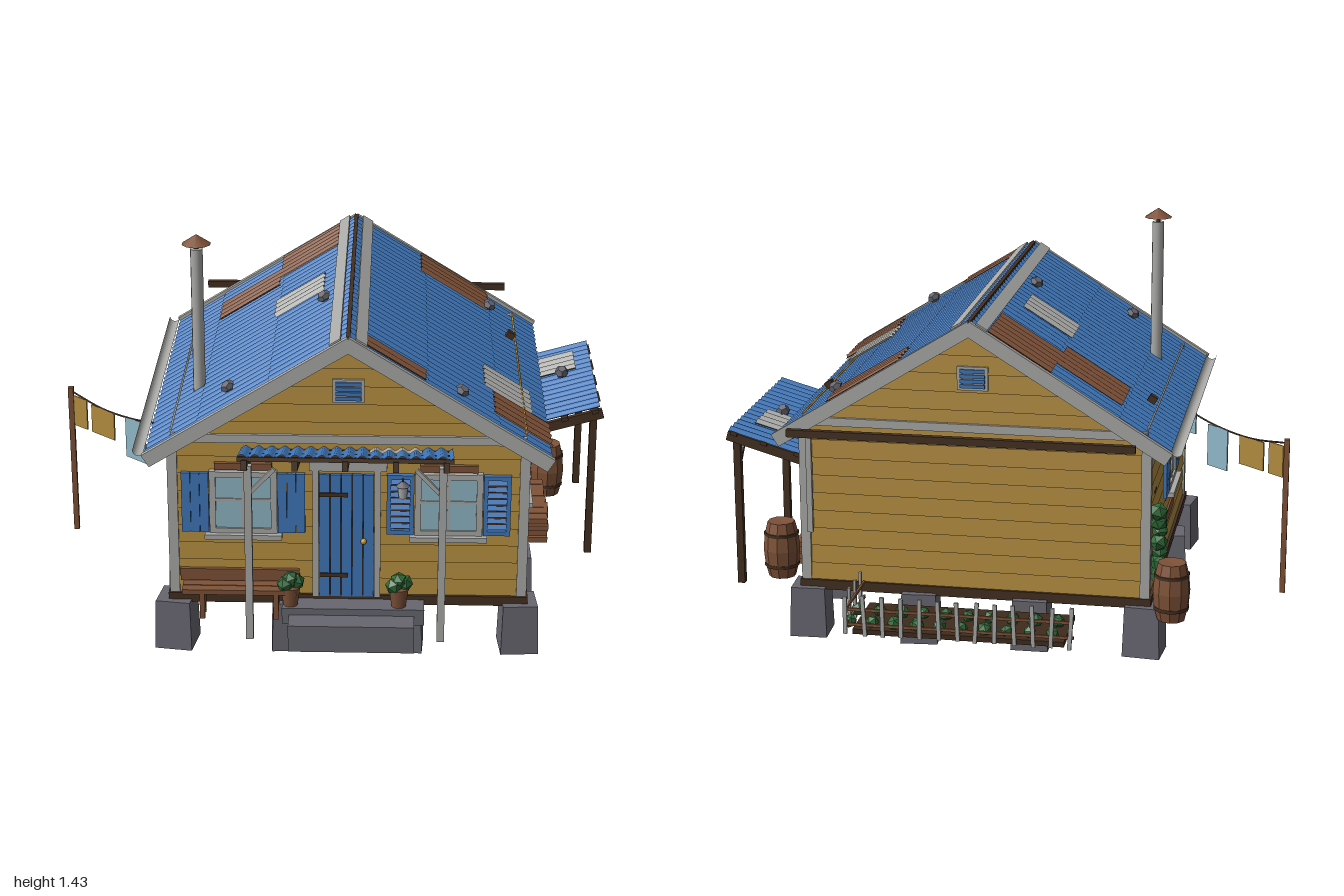
import * as THREE from 'three';

const M = {};
for (const [name, color] of Object.entries({
  mustardBoards: 0xb08a3e, paintedBlue: 0x3f77ba, rust: 0x7f5238, darkWood: 0x443021, paleGrey: 0xaaaaa8,
  stone: 0x686771, glass: 0x8fb6c6, leaf: 0x2f6a38, gold: 0xc8952f, soil: 0x3f2c1d })) {
  M[name] = new THREE.MeshStandardMaterial({ color });
  M[name].name = name;
}
for (const k of ['paintedBlue', 'rust', 'paleGrey', 'glass', 'mustardBoards']) M[k].side = THREE.DoubleSide;

let seed = 7;
const rnd = (a = -1, b = 1) => { seed = (seed * 16807) % 2147483647; return a + (b - a) * seed / 2147483647; };

function add(parent, name, geo, mat, x = 0, y = 0, z = 0) {
  const m = new THREE.Mesh(geo, mat);
  m.name = name;
  m.position.set(x, y, z);
  parent.add(m);
  return m;
}
const box = (p, name, mat, w, h, d, x, y, z) => add(p, name, new THREE.BoxGeometry(w, h, d), mat, x, y, z);
function group(parent, name, x = 0, y = 0, z = 0, ry = 0) {
  const g = new THREE.Group();
  g.name = name;
  g.position.set(x, y, z);
  g.rotation.y = ry;
  parent.add(g);
  return g;
}
function flat(geo) {
  const g = geo.index ? geo.toNonIndexed() : geo;
  g.computeVertexNormals();
  return g;
}
// corrugated sheet: waves repeat along z, sheet runs along x; z is absolute so sheets nest
function corrugated(len, z0, z1) {
  const g = new THREE.PlaneGeometry(len, z1 - z0, 1, Math.ceil((z1 - z0) / 0.0075));
  g.rotateX(-Math.PI / 2).translate(0, 0, (z0 + z1) / 2);
  const p = g.attributes.position;
  for (let i = 0; i < p.count; i++) p.setY(i, 0.006 * Math.sin(p.getZ(i) * Math.PI * 2 / 0.045));
  g.computeVertexNormals();
  return g;
}

const CX = 0.08, CZ = 0.06, HX = 0.62, HZ = 0.61, RIDGE = 1.2, SLOPE = 0.62, ANG = Math.atan(SLOPE), COS = Math.cos(ANG);

function clapboards(parent, name, half, y0, y1, gable) {
  const step = 0.066;
  for (let y = y0; y < y1 - 0.01; y += step) {
    const t = Math.min(y + step, y1);
    const w = v => gable ? Math.max(0.004, Math.min(half, (RIDGE - 0.03 - v) / SLOPE)) : half;
    const s = new THREE.Shape([[-w(y), y - t], [w(y), y - t], [w(t), 0], [-w(t), 0]].map(a => new THREE.Vector2(...a)));
    const b = add(parent, name, new THREE.ExtrudeGeometry(s, { depth: 0.012, bevelEnabled: false }), M.mustardBoards, 0, t, -0.014);
    b.rotation.x = -0.1;
  }
}

function windowUnit(parent, x, y, z, ry, louvred) {
  const g = group(parent, 'window', x, y, z, ry);
  box(g, 'glassPane', M.glass, 0.2, 0.2, 0.008, 0, 0, 0.01);
  for (const s of [-1, 1]) {
    box(g, 'frameSide', M.paleGrey, 0.022, 0.24, 0.028, s * 0.107, 0, 0.008);
    box(g, 'frameRail', M.paleGrey, 0.23, 0.02, 0.028, 0, s * 0.107, 0.008);
    const sh = group(g, 'shutter', s * 0.168, 0, 0.014);
    if (!louvred) for (const k of [-1, 0, 1]) box(sh, 'shutterBoard', M.paintedBlue, 0.031, 0.225, 0.014, k * 0.032, 0, 0);
    else {
      for (const k of [-1, 1]) {
        box(sh, 'shutterStile', M.paintedBlue, 0.015, 0.225, 0.018, k * 0.04, 0, 0);
        box(sh, 'shutterRail', M.paintedBlue, 0.095, 0.016, 0.018, 0, k * 0.105, 0);
      }
      box(sh, 'shutterBack', M.darkWood, 0.07, 0.2, 0.004, 0, 0, -0.008);
      for (let i = 0; i < 8; i++) box(sh, 'louvre', M.paintedBlue, 0.068, 0.017, 0.006, 0, -0.084 + i * 0.024, 0).rotation.x = -0.5;
    }
  }
  box(g, 'mullion', M.paleGrey, 0.01, 0.2, 0.012, 0, 0, 0.012);
  box(g, 'transom', M.paleGrey, 0.2, 0.01, 0.012, 0, 0.01, 0.012);
  box(g, 'windowSill', M.paleGrey, 0.27, 0.018, 0.045, 0, -0.124, 0.018);
  box(g, 'lintel', M.rust, 0.2, 0.025, 0.015, 0, 0.135, 0.008);
}

// lean-to awning rising outwards along local +z
function awning(parent, x, y, z, ry, width, depth, patch, postMat, postTop, postBase, postZ) {
  const g = group(parent, 'awning', x, y, z, ry);
  const deck = group(g, 'awningDeck');
  deck.rotation.x = -0.28;
  const turn = (len, a, b) => corrugated(len, a, b).rotateY(Math.PI / 2);
  add(deck, 'awningSheet', turn(depth, -width / 2, width / 2), M.paintedBlue, 0, 0.012, depth / 2);
  add(deck, 'awningPatch', turn(patch[2], patch[0], patch[1]), M.paleGrey, 0, 0.02, patch[3]);
  for (let i = 0; i < 5; i++) box(deck, 'awningJoist', M.darkWood, 0.02, 0.035, depth, (i / 4 - 0.5) * (width - 0.05), -0.02, depth / 2 + 0.004);
  for (const f of [0.12, 0.55, 0.93]) box(deck, 'awningBatten', M.darkWood, width, 0.015, 0.025, 0, 0, depth * f);
  for (const s of [-1, 1]) {
    const px = s * (width / 2 - 0.035);
    box(g, 'awningPost', postMat, 0.026, postTop - postBase, 0.026, px, (postTop + postBase) / 2 - y, postZ);
    const brace = box(g, 'awningBrace', postMat, 0.014, 0.13, 0.014, px - s * 0.045, postTop - y - 0.06, postZ);
    brace.rotation.z = s * 0.75;
  }
}

function barrel(parent, x, y, z) {
  const g = group(parent, 'barrel', x, y, z);
  const pts = [[0, 0], [0.05, 0], [0.062, 0.05], [0.067, 0.105], [0.062, 0.16], [0.05, 0.21], [0, 0.205]].map(a => new THREE.Vector2(...a));
  add(g, 'barrelStaves', flat(new THREE.LatheGeometry(pts, 10)), M.rust);
  for (const h of [0.045, 0.165]) add(g, 'barrelHoop', new THREE.CylinderGeometry(0.064, 0.064, 0.012, 10, 1), M.darkWood, 0, h, 0);
}

function bush(parent, r, x, y, z) {
  const b = add(parent, 'foliage', flat(new THREE.IcosahedronGeometry(r, 0)), M.leaf, x, y, z);
  b.rotation.set(rnd(), rnd(), rnd());
}

export function createModel() {
  const root = new THREE.Group();
  root.name = 'cabin';

  // foundation and floor
  for (let i = 0; i < 4; i++) for (let j = 0; j < 4; j++) {
    if (i % 3 && j % 3) continue;
    const p = add(root, 'pier', new THREE.CylinderGeometry(0.087, 0.095, 0.185, 4).rotateY(Math.PI / 4).toNonIndexed(), M.stone,
      -0.53 + i * 0.405, 0.0925, 0.65 - j * 0.393);
    flat(p.geometry);
    p.rotation.y = rnd() * 0.15;
  }
  for (let i = 0; i < 16; i++) box(root, 'floorPlank', M.darkWood, 1.25, 0.02, 0.073, CX, 0.182 + (i % 2) * 0.003, CZ - 0.574 + i * 0.0766);
  for (const s of [-1, 1]) {
    box(root, 'sillBeam', M.darkWood, 1.27, 0.035, 0.03, CX, 0.193, CZ + s * 0.61);
    box(root, 'sillBeam', M.darkWood, 0.03, 0.035, 1.25, CX + s * 0.62, 0.193, CZ);
  }

  // walls: inner core with overlapping boards
  const eave = RIDGE - 0.04 - SLOPE * 0.6;
  const core = new THREE.Shape([[-0.605, 0.185], [0.605, 0.185], [0.605, eave], [0, RIDGE - 0.04], [-0.605, eave]].map(a => new THREE.Vector2(...a)));
  add(root, 'wallCore', new THREE.ExtrudeGeometry(core, { depth: 1.19, bevelEnabled: false }), M.mustardBoards, CX, 0, CZ - 0.595);
  for (const s of [1, -1]) {
    const end = group(root, 'gableWall', CX, 0, CZ + s * HZ, s > 0 ? 0 : Math.PI);
    clapboards(end, 'gableBoard', HX, 0.205, 1.16, true);
    box(end, 'gableBand', M.paleGrey, 1.23, 0.03, 0.018, 0, 0.805, 0.006);
    const vent = group(end, 'gableVent', 0, 0.985, 0.005);
    box(vent, 'ventFrame', M.paleGrey, 0.11, 0.085, 0.012, 0, 0, 0);
    for (let i = 0; i < 4; i++) box(vent, 'ventSlat', M.paintedBlue, 0.088, 0.013, 0.012, 0, -0.027 + i * 0.018, 0.006);
    const side = group(root, 'sideWall', CX + s * HX, 0, CZ, s * Math.PI / 2);
    clapboards(side, 'sideBoard', HZ, 0.205, 0.78, false);
    for (const [z, y, l] of [[0.35, 0.38, 0.14], [0.2, 0.31, 0.17], [-0.25, 0.34, 0.1], [-0.42, 0.48, 0.07], [0.42, 0.55, 0.06], [0.05, 0.4, 0.06]])
      box(side, 'boardGap', M.darkWood, l, 0.007, 0.005, -z, y, 0.002);
    for (const t of [1, -1]) {
      box(root, 'cornerTrim', M.paleGrey, 0.035, 0.57, 0.035, CX + s * 0.612, 0.475, CZ + t * 0.602);
    }
  }
  box(root, 'looseTrim', M.paleGrey, 0.02, 0.37, 0.016, 0.67, 0.58, -0.572);

  // windows
  windowUnit(root, -0.285, 0.565, 0.67, 0, false);
  windowUnit(root, 0.43, 0.565, 0.67, 0, true);
  windowUnit(root, 0.70, 0.56, 0.27, Math.PI / 2, false);
  windowUnit(root, 0.70, 0.56, -0.135, Math.PI / 2, true);
  windowUnit(root, -0.54, 0.56, 0.07, -Math.PI / 2, false);
  box(root, 'patchPlank', M.rust, 0.012, 0.04, 0.4, -0.545, 0.33, 0.02);

  // door
  const door = group(root, 'door', 0.075, 0, 0.67);
  for (let i = 0; i < 5; i++) box(door, 'doorPlank', M.paintedBlue, 0.036, 0.47, 0.016, -0.077 + i * 0.0385, 0.44, 0.008);
  box(door, 'doorBacking', M.darkWood, 0.19, 0.47, 0.008, 0, 0.44, 0.002);
  for (const y of [0.29, 0.6]) box(door, 'doorHinge', M.darkWood, 0.1, 0.014, 0.006, -0.045, y, 0.019);
  for (const s of [-1, 1]) box(door, 'doorJamb', M.paleGrey, 0.022, 0.49, 0.028, s * 0.108, 0.45, 0.008);
  box(door, 'doorHeader', M.paleGrey, 0.27, 0.045, 0.032, 0.005, 0.715, 0.01);
  add(door, 'doorKnob', new THREE.SphereGeometry(0.011, 10, 8), M.gold, 0.06, 0.425, 0.025);
  const lantern = group(root, 'lantern', 0.27, 0.62, 0.7);
  add(lantern, 'lanternBody', new THREE.CylinderGeometry(0.018, 0.014, 0.045, 8), M.paleGrey);
  add(lantern, 'lanternCap', new THREE.ConeGeometry(0.025, 0.02, 8), M.stone, 0, 0.032, 0);
  box(lantern, 'lanternArm', M.darkWood, 0.008, 0.008, 0.04, 0, 0.044, -0.015);

  // steps
  box(root, 'lowerStep', M.stone, 0.44, 0.1, 0.15, 0.095, 0.12, 0.775);
  box(root, 'upperStep', M.stone, 0.5, 0.06, 0.09, 0.1, 0.165, 0.72);

  // roof: three rows of sheets per slope, patches [d0, d1, z0, z1, material]
  const patches = {
    '1': [[0.25, 0.51, -0.61, -0.41, M.rust], [0.5, 0.7, 0.43, 0.65, M.rust], [0.03, 0.26, 0.63, 0.73, M.rust], [0.47, 0.64, 0.24, 0.43, M.paleGrey]],
    '-1': [[0.28, 0.51, -0.47, -0.26, M.rust], [0.06, 0.28, -0.61, -0.34, M.rust], [0.1, 0.28, -0.11, 0.08, M.paleGrey]]
  };
  const rocks = { '1': [[0.38, 0.65], [0.51, -0.44]], '-1': [[0.09, 0.21], [0.41, 0.59]] };
  for (const s of [1, -1]) {
    const slope = group(root, s > 0 ? 'leftRoofSlope' : 'rightRoofSlope', CX, RIDGE, 0);
    slope.rotation.z = -s * ANG;
    const sheet = (name, d0, d1, z0, z1, mat, lift) =>
      add(slope, name, corrugated((d1 - d0) / COS, z0, z1), mat, s * (d0 + d1) / 2 / COS, lift, 0);
    [[0, 0.27], [0.25, 0.52], [0.5, 0.705]].forEach(([a, b], i) => sheet('roofSheet', a, b, -0.612, 0.735, M.paintedBlue, -i * 0.004));
    for (const p of patches[s]) sheet('roofPatch', ...p, 0.008);
    box(slope, 'roofDecking', M.darkWood, 0.79, 0.012, 1.33, s * 0.4, -0.02, CZ);
    for (const z of [0.745, -0.622]) box(slope, 'bargeBoard', M.paleGrey, 0.83, 0.05, 0.022, s * 0.415, -0.018, z);
    for (let i = 0; i < 7; i++) box(slope, 'rafterTail', M.darkWood, 0.15, 0.03, 0.022, s * 0.735, -0.04, -0.53 + i * 0.197);
    box(slope, 'ridgeFlashing', M.paleGrey, 0.045, 0.006, 1.37, s * 0.045, 0.012, CZ);
    const cord = add(slope, 'roofCord', new THREE.CylinderGeometry(0.004, 0.004, 1.22, 5).rotateX(Math.PI / 2), s > 0 ? M.gold : M.paleGrey, s * 0.61 / COS, 0.006, CZ);
    cord.position.y += 0.001;
    for (const [d, z] of rocks[s]) {
      const r = add(slope, 'roofStone', flat(new THREE.DodecahedronGeometry(0.027, 0)), M.stone, s * d / COS, 0.02, z);
      r.scale.y = 0.75;
    }
    box(slope, 'roofBrick', M.darkWood, 0.03, 0.025, 0.028, s * 0.585 / COS, 0.018, -0.24);
  }
  box(root, 'ridgePole', M.darkWood, 0.014, 0.012, 1.36, CX, 1.2, CZ);
  const gutter = add(root, 'gutter', new THREE.CylinderGeometry(0.02, 0.02, 1.34, 8, 1, true, -Math.PI / 2, Math.PI).rotateX(Math.PI / 2), M.paleGrey, -0.642, 0.775, 0.055);
  gutter.rotation.z = 0;

  // stove pipe
  add(root, 'stovePipe', new THREE.CylinderGeometry(0.022, 0.022, 0.56, 12), M.paleGrey, -0.46, 1.1, 0.345);
  add(root, 'pipeCap', new THREE.ConeGeometry(0.052, 0.035, 10), M.rust, -0.46, 1.415, 0.345);
  add(root, 'pipeStem', new THREE.CylinderGeometry(0.008, 0.008, 0.04, 6), M.darkWood, -0.46, 1.39, 0.345);

  // awnings
  awning(root, 0.075, 0.755, 0.665, 0, 0.73, 0.245, [0.08, 0.26, 0.09, 0.11], M.paleGrey, 0.79, 0.135, 0.205);
  awning(root, 0.70, 0.645, -0.145, Math.PI / 2, 0.7, 0.3, [0.06, 0.24, 0.14, 0.17], M.darkWood, 0.69, 0.145, 0.265);
  add(root, 'awningStone', flat(new THREE.DodecahedronGeometry(0.026, 0)), M.stone, 0.87, 0.725, -0.185);

  // bench and flower pots
  const bench = group(root, 'bench', -0.3, 0, 0.72);
  for (const z of [-0.02, 0.02]) box(bench, 'benchSeat', M.rust, 0.4, 0.018, 0.036, 0, 0.25, z);
  box(bench, 'benchBack', M.rust, 0.42, 0.045, 0.014, 0, 0.285, -0.038);
  for (const x of [-0.13, 0.13]) for (const z of [-0.025, 0.025]) box(bench, 'benchLeg', M.rust, 0.018, 0.1, 0.018, x, 0.195, z);
  for (const x of [-0.12, 0.26]) {
    add(root, 'flowerPot', new THREE.CylinderGeometry(0.036, 0.026, 0.07, 10), M.rust, x, 0.23, 0.73);
    for (const [dx, dy, dz] of [[-0.018, 0, 0.01], [0.02, 0.003, -0.008], [0, 0.016, 0]]) bush(root, 0.031, x + dx, 0.277 + dy, 0.73 + dz);
  }

  // barrels, bricks and climbing plant
  barrel(root, -0.63, 0.155, -0.59);
  barrel(root, 0.84, 0.145, -0.36);
  for (let r = 0; r < 4; r++) for (let i = 0; i < 7; i++)
    box(root, 'brick', M.rust, 0.1, 0.021, 0.05, 0.77 + rnd() * 0.006, 0.161 + r * 0.0235, 0.09 - i * 0.053 - (r % 2) * 0.012);
  for (let i = 0; i < 7; i++) bush(root, 0.035, -0.565, 0.26 + i * 0.04, -0.43 + rnd() * 0.03);

  // vegetable bed and picket fence
  box(root, 'gardenSoil', M.soil, 0.74, 0.018, 0.26, 0.075, 0.15, -0.755);
  for (let i = 0; i < 10; i++) for (const z of [-0.85, -0.735]) bush(root, 0.026 + rnd() * 0.003, -0.25 + i * 0.079, 0.175, z);
  for (let i = 0; i < 13; i++) box(root, 'picket', M.paleGrey, 0.014, 0.14 + rnd() * 0.012, 0.01, -0.32 + i * 0.0655, 0.215, -0.9).rotation.z = rnd() * 0.06;
  for (let i = 0; i < 3; i++) box(root, 'sidePicket', M.paleGrey, 0.01, 0.14, 0.014, 0.47, 0.215, -0.66 - i * 0.08);
  for (const y of [0.18, 0.235]) {
    box(root, 'fenceRail', M.rust, 0.8, 0.01, 0.008, 0.07, y, -0.893);
    box(root, 'sideRail', M.rust, 0.008, 0.01, 0.28, 0.465, y, -0.76);
  }
  box(root, 'hangingBeam', M.darkWood, 1.2, 0.026, 0.022, 0.075, 0.84, -0.83);

  // clothes line
  const line = x => -0.085 + (x + 0.99) * 0.86;
  box(root, 'linePost', M.rust, 0.02, 0.59, 0.02, -0.99, 0.385, -0.085);
  const pts = [[-0.99, 0.665], [-0.85, 0.64], [-0.7, 0.65], [-0.55, 0.69]].map(([x, y]) => new THREE.Vector3(x, y, line(x)));
  add(root, 'clothesLine', new THREE.TubeGeometry(new THREE.CatmullRomCurve3(pts), 16, 0.0035, 5), M.darkWood);
  for (const [x, w, top, h, mat] of [[-0.95, 0.055, 0.65, 0.12, M.mustardBoards], [-0.855, 0.095, 0.64, 0.11, M.mustardBoards],
    [-0.72, 0.08, 0.645, 0.16, M.glass], [-0.6, 0.06, 0.675, 0.085, M.glass]]) {
    const c = box(root, 'laundry', mat, w * 1.32, h, 0.005, x, top - h / 2, line(x));
    c.rotation.y = -Math.atan(0.86);
  }
  return root;
}
